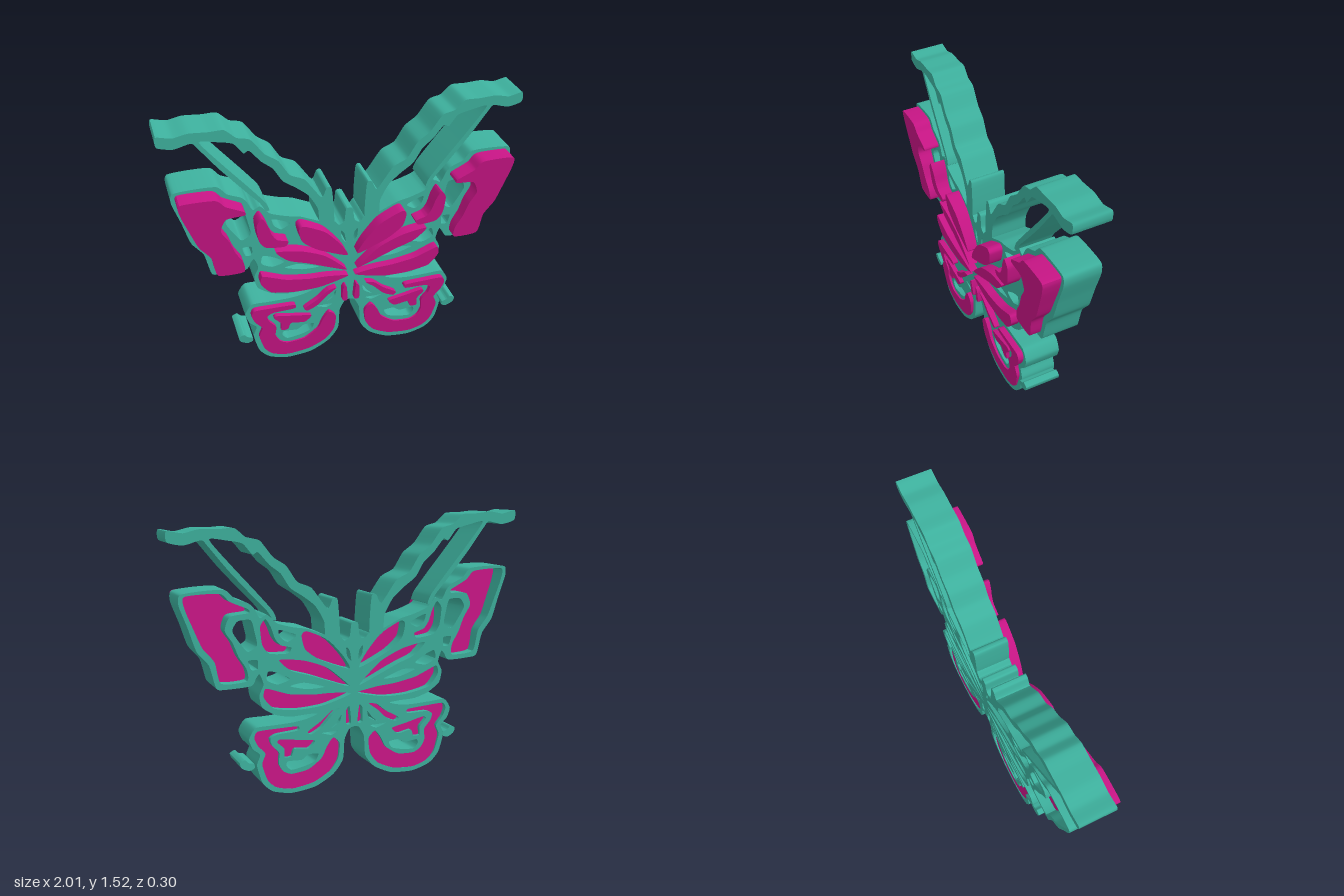
import * as THREE from 'three';
import { toCreasedNormals } from 'three/addons/utils/BufferGeometryUtils.js';

const TILT = 0.0855, DEPTH = 0.2, FRONT = 0.05;
const teal = new THREE.MeshStandardMaterial({ color: 0x3db09d });
const magenta = new THREE.MeshStandardMaterial({ color: 0xc71585 });

// All outlines: x, y pairs in hundredths, for the +x half.
const bodyHalf = [0, 95, 2, 94, 3, 87, 6, 85, 9, 88, 16, 89, 21, 91, 28, 94, 35, 95.5, 40, 97, 45, 99,
  50, 104, 54, 102.5, 57, 108, 60, 111, 67, 114, 72, 119, 83, 119.5, 95, 118.5, 96, 113, 92, 101,
  88, 88, 82, 80, 79, 68, 76, 66, 60, 66, 57, 70, 55, 72, 53, 66, 55.5, 60, 54, 53, 47, 48,
  38, 45.5, 28, 45.5, 22, 45, 28, 43, 36, 42, 48, 42, 58, 42, 62, 36, 60, 30, 56, 26, 58, 20,
  55, 9, 49, 3, 38, 0, 24, 1.3, 13, 7, 7, 15, 6, 27, 3, 33, 0, 34];

// Looped strip along the top of the wing
const topStrip = [9, 86, 10, 108, 13, 109, 16, 104, 25, 116, 33, 120, 39, 129, 46, 134, 53, 143, 60, 145,
  66, 150, 74, 150, 84, 150.5, 92, 149, 100, 150.5, 100, 145, 92, 143, 83, 145, 80, 142, 70, 129,
  58, 115, 50, 106, 47, 101, 45, 101, 47, 106, 56, 117, 68, 131, 79, 145, 70, 144, 62, 142,
  57, 136, 54, 137, 48, 130, 42, 125, 37, 117, 30, 112, 23, 106, 18, 97, 17, 87];

const sidePebble = [59, 18, 62, 17, 66, 19, 67, 22, 64, 23.5, 62, 21.5, 59, 20.5];

// Coloured inlays of the front wings
const frontInlays = {
  wingTipInlay: [60, 107, 64, 109, 70, 112, 75, 116.5, 93, 116.5, 93, 110, 89, 99, 85, 89, 79, 81, 76, 69,
    62, 68.5, 62, 75, 66, 82, 69, 90, 73, 97, 70, 104, 60, 105],
  upperOuterInlay: [51, 101, 54, 97, 53, 87, 49, 82, 39, 81, 37, 84, 43, 86, 46, 90, 48, 96],
  upperInnerInlay: [28, 92, 31, 90, 29, 82, 20, 75, 3, 68, 7, 76, 16, 86],
  middleInlay: [3, 58, 16, 70, 30, 76, 44, 78, 37, 71, 26, 67, 14, 62],
  lowerInlay: [52, 63, 53, 58, 47, 51, 33, 48.5, 18, 49, 2, 53.5, 14, 55.5, 25, 56, 38, 58, 46, 61],
};

// Coloured inlays of the hind wings
const hindInlays = {
  hindRingInlay: [34, 39, 46, 39.5, 57, 39.5, 59, 36, 57, 31, 53, 26, 55, 20, 52, 10, 47, 5, 38, 2.5, 25, 4,
    15, 9, 10, 16, 9, 25, 13, 29, 17, 24, 20, 18, 28, 12.5, 38, 11.5, 43, 14, 45.5, 19, 45, 25,
    49, 30, 50, 34, 46, 36, 34, 36.5],
  hindCentreInlay: [24, 29, 34, 31, 44, 33, 46, 31.5, 42, 27, 42, 22, 38, 22, 36, 26, 28, 25],
  tailInlay: [3, 46, 5, 44, 5, 36, 2, 36],
  hindVeinInlay: [9, 46, 14, 42, 20, 36, 26, 33, 28, 35, 20, 40, 14, 45],
};

// Open cut-outs through the frame
const cutouts = [
  [59, 102, 66, 102, 69, 97, 65, 90, 61, 85, 56, 88, 57, 95],
  [56, 80, 61, 80, 59.5, 75, 56, 75],
  [34, 91, 40, 94, 44, 95, 43, 91, 39, 88],
  [38, 67, 44, 71, 50, 73, 51, 68, 45, 65],
  [18, 60, 30, 64, 38, 63, 28, 60],
  [24, 17, 30, 15, 38, 14, 41, 17, 40, 19.5, 32, 19, 28, 21.5, 22, 21],
  [8, 42, 11, 38, 14, 35, 9, 38],
  [10, 33, 16, 33, 20, 33, 14, 31],
  [2, 73, 3, 79, 5, 81, 4.5, 76],
];

function points(flat, side = 1, stretch = 1) {
  const out = [];
  for (let i = 0; i < flat.length; i += 2) {
    out.push(new THREE.Vector3(side * flat[i] / 100, stretch * flat[i + 1] / 100, 0));
  }
  return out;
}

// Closed, gently rounded outline through the points, always counter-clockwise
function rounded(pts) {
  const curve = new THREE.CatmullRomCurve3(pts, true, 'catmullrom', 0.32);
  const loop = curve.getPoints(pts.length * 5).slice(0, -1).map((p) => new THREE.Vector2(p.x, p.y));
  return THREE.ShapeUtils.isClockWise(loop) ? loop.reverse() : loop;
}

// Slab with its front at z = 0.05; tilted slabs lean forward, upright ones are only sheared
function slab(name, shape, material, tilted) {
  const geo = new THREE.ExtrudeGeometry(shape, { depth: DEPTH, bevelEnabled: false, curveSegments: 1 });
  geo.translate(0, 0, -DEPTH);
  geo.applyMatrix4(new THREE.Matrix4().set(
    1, 0, 0, 0,
    0, 1, -TILT, 0,
    0, tilted ? TILT : 0, 1, FRONT,
    0, 0, 0, 1));
  const mesh = new THREE.Mesh(toCreasedNormals(geo, 0.6), material);
  mesh.name = name;
  return mesh;
}

export function createModel() {
  const group = new THREE.Group();
  group.name = 'butterfly';
  const inlays = { ...frontInlays, ...hindInlays };

  // Pierced frame: whole outline from the mirrored half
  const half = points(bodyHalf);
  const other = points(bodyHalf, -1).slice(1, -1).reverse();
  const frame = new THREE.Shape(rounded([...half, ...other]));
  for (const side of [1, -1]) {
    for (const hole of cutouts) frame.holes.push(new THREE.Path(rounded(points(hole, side))));
    for (const hole of Object.values(inlays)) {
      frame.holes.push(new THREE.Path(rounded(points(hole, side, 1 + TILT * TILT))));
    }
  }
  group.add(slab('wingFrame', frame, teal, false));

  // Paired parts
  for (const [side, label] of [[1, 'left'], [-1, 'right']]) {
    const shapeOf = (flat) => new THREE.Shape(rounded(points(flat, side)));
    group.add(slab(label + 'TopStrip', shapeOf(topStrip), teal, false));
    group.add(slab(label + 'SidePebble', shapeOf(sidePebble), teal, true));
    for (const [name, flat] of Object.entries(inlays)) {
      group.add(slab(label + name[0].toUpperCase() + name.slice(1), shapeOf(flat), magenta, true));
    }
  }
  return group;
}
